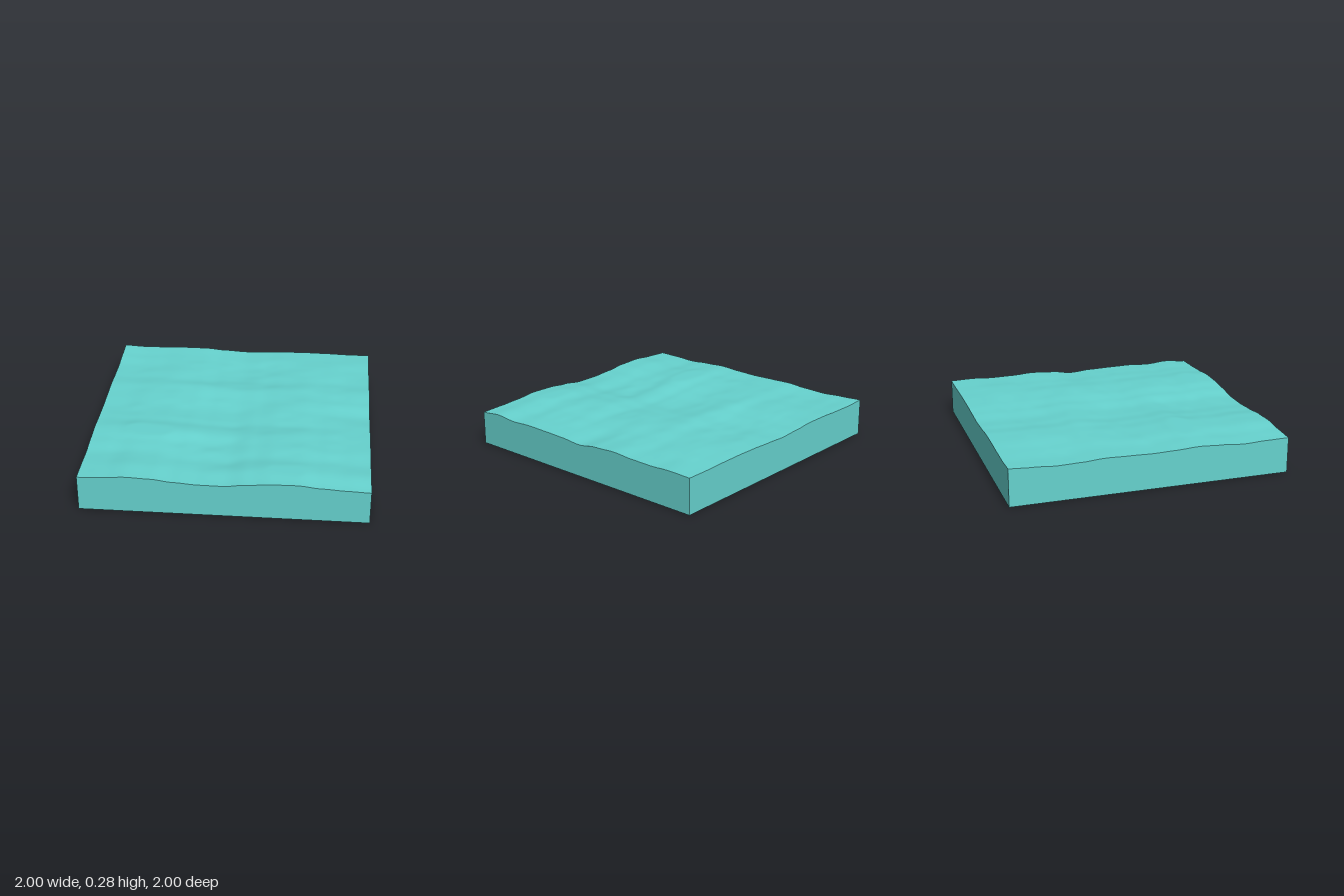
import * as THREE from 'three';

const SEG = 80;

// Edge heights at even steps, from -1 to +1
const FRONT = [0.258, 0.264, 0.276, 0.27, 0.252, 0.241, 0.24, 0.259, 0.272, 0.274, 0.258, 0.249, 0.243];
const BACK = [0.27, 0.263, 0.265, 0.27, 0.27, 0.258, 0.25, 0.256, 0.262, 0.264, 0.262, 0.258, 0.258];
const RIGHT = [0.258, 0.262, 0.254, 0.256, 0.265, 0.256, 0.234, 0.246, 0.25, 0.253, 0.245, 0.258, 0.243];
const LEFT = [0.27, 0.262, 0.252, 0.256, 0.266, 0.262, 0.258, 0.262, 0.27, 0.262, 0.25, 0.256, 0.258];

// Swells: x, z, half-length, half-width, height
const SWELLS = [
  [-0.6, 0.36, 0.38, 0.1, 0.013],
  [0.45, -0.01, 0.3, 0.1, 0.013],
  [-0.4, -0.64, 0.28, 0.12, 0.01],
  [0.72, -0.68, 0.25, 0.12, 0.01],
  [-0.1, -0.31, 0.28, 0.1, 0.012],
  [0.3, 0.82, 0.35, 0.1, 0.008],
  [-0.1, 0.5, 0.3, 0.08, -0.01],
  [0.3, 0.2, 0.35, 0.08, -0.008],
];

function profile(points, t) {
  const f = THREE.MathUtils.clamp((t + 1) / 2, 0, 1) * (points.length - 1);
  const i = Math.min(Math.floor(f), points.length - 2);
  return THREE.MathUtils.lerp(points[i], points[i + 1], THREE.MathUtils.smoothstep(f - i, 0, 1));
}

// Smooth lattice noise in -1..1
function hash(i, j) {
  const s = Math.sin(i * 127.1 + j * 311.7 + 17.3) * 43758.5453;
  return (s - Math.floor(s)) * 2 - 1;
}
function noise(x, z) {
  const i = Math.floor(x), j = Math.floor(z);
  const u = THREE.MathUtils.smoothstep(x - i, 0, 1), v = THREE.MathUtils.smoothstep(z - j, 0, 1);
  const { lerp } = THREE.MathUtils;
  return lerp(lerp(hash(i, j), hash(i + 1, j), u), lerp(hash(i, j + 1), hash(i + 1, j + 1), u), v);
}

// Blend the four edges, then add swells and small ripples inside
function waterHeight(x, z) {
  const u = (x + 1) / 2, v = (z + 1) / 2;
  const { lerp } = THREE.MathUtils;
  const alongZ = lerp(profile(BACK, x), profile(FRONT, x), v);
  const alongX = lerp(profile(LEFT, z), profile(RIGHT, z), u);
  const corners = lerp(lerp(BACK[0], BACK[12], u), lerp(FRONT[0], FRONT[12], u), v);
  const inside = Math.min(1, (1 - Math.abs(x)) * 4) * Math.min(1, (1 - Math.abs(z)) * 4);
  let h = 0;
  for (const [cx, cz, rx, rz, a] of SWELLS) {
    h += a * Math.exp(-(((x - cx) / rx) ** 2) - ((z - cz) / rz) ** 2);
  }
  h += 0.004 * noise(x * 4 + 9, z * 7 + 5) + 0.002 * noise(x * 8 + 31, z * 14 + 3);
  return Math.min(0.28, alongZ + alongX - corners + h * inside);
}

export function createModel() {
  const group = new THREE.Group();
  group.name = 'waterTile';

  // Square slab whose top face is raised into ripples
  const geometry = new THREE.BoxGeometry(2, 1, 2, SEG, 1, SEG);
  const pos = geometry.attributes.position;
  for (let i = 0; i < pos.count; i++) {
    pos.setY(i, pos.getY(i) > 0 ? waterHeight(pos.getX(i), pos.getZ(i)) : 0);
  }
  geometry.computeVertexNormals();

  const water = new THREE.Mesh(geometry, new THREE.MeshStandardMaterial({ color: 0x66d2ce }));
  water.name = 'waterBlock';
  group.add(water);
  return group;
}
